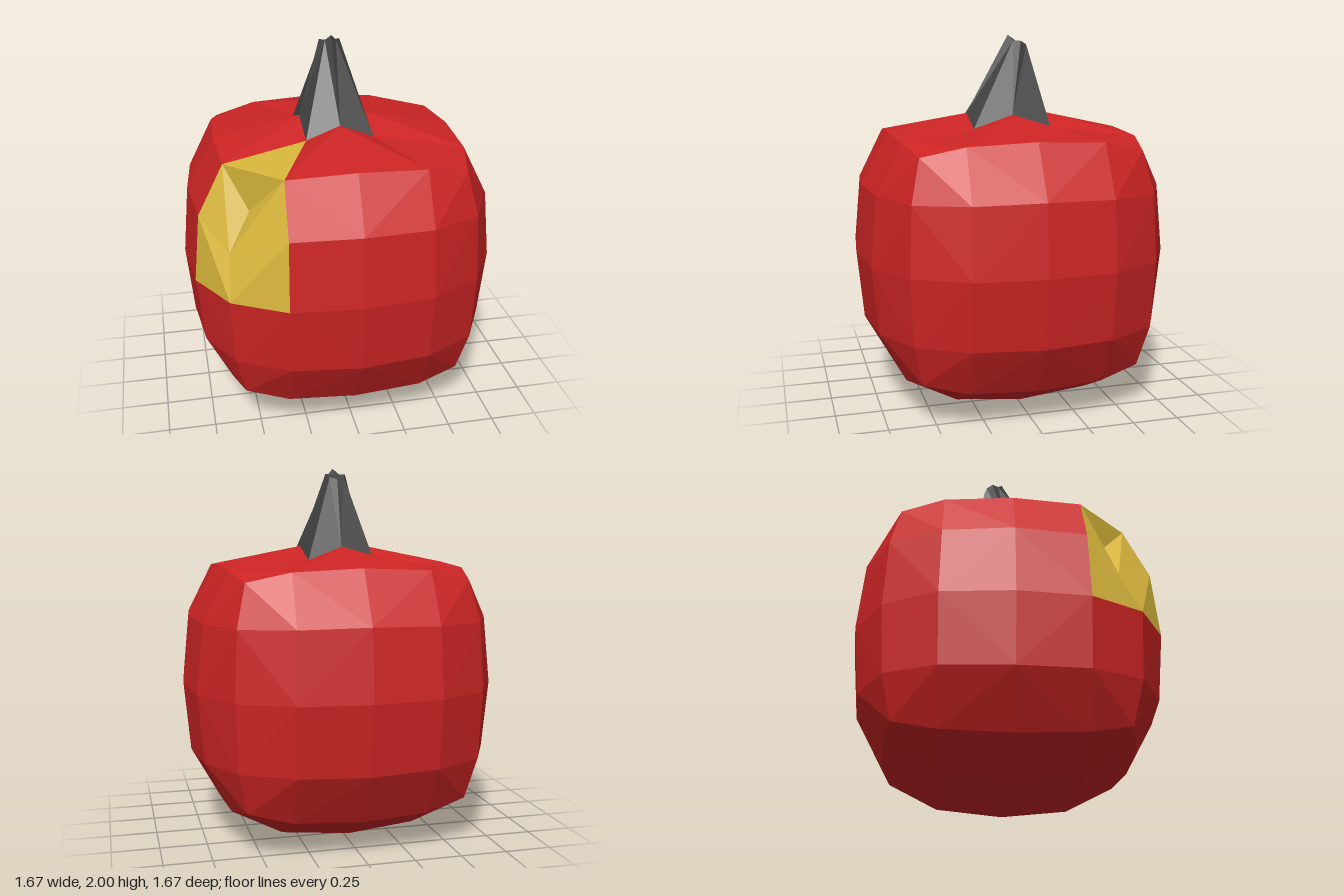
import * as THREE from 'three';

const CY = 0.84; // height of the body's centre
const centre = new THREE.Vector3(0, CY, 0);

// Flat-shaded mesh from a list of triangle corners
function facetMesh(name, points, material) {
  const g = new THREE.BufferGeometry().setFromPoints(points);
  g.computeVertexNormals();
  const m = new THREE.Mesh(g, material);
  m.name = name;
  return m;
}

// Split a quad along the diagonal that bulges further outward
function addQuad(list, a, b, c, d) {
  const mid = (p, q) => p.clone().add(q).multiplyScalar(0.5).distanceTo(centre);
  if (mid(a, c) >= mid(b, d)) list.push(a, b, c, a, c, d);
  else list.push(a, b, d, b, c, d);
}

// Rounded-cube lattice: the position depends on the lattice steps (-2..2) on each axis
const outer = { '0,0': 0.835, '0,1': 0.8, '1,1': 0.765, '0,2': 0.646, '1,2': 0.63, '2,2': 0.58 };
const inner = { '0,2': 0.37, '1,2': 0.363, '2,2': 0.358 };

function latticePoint(idx) {
  const [x, y, z] = idx;
  // dented shoulder
  if (x === -2 && z === 2 && y === 2) return new THREE.Vector3(-0.515, 1.25, 0.462);
  if (x === -2 && z === 2 && y === 1) return new THREE.Vector3(-0.63, 1.06, 0.54);
  // opening under the stem
  if (y === 2 && Math.abs(x) < 2 && Math.abs(z) < 2) {
    return new THREE.Vector3(x * 0.18, x && z ? 1.51 : 1.58, z * 0.213);
  }
  const c = idx.map((v, i) => {
    const key = idx.filter((_, j) => j !== i).map(Math.abs).sort().join(',');
    const a = Math.abs(v);
    return Math.sign(v) * (a === 2 ? outer[key] : a === 1 ? inner[key] : 0);
  });
  return new THREE.Vector3(c[0], c[1] + CY, c[2]);
}

export function createModel() {
  const red = new THREE.MeshStandardMaterial({ color: 0xcc2424 });
  red.name = 'red';
  const yellow = new THREE.MeshStandardMaterial({ color: 0xd8b63c });
  yellow.name = 'yellow';
  const grey = new THREE.MeshStandardMaterial({ color: 0x444444 });
  grey.name = 'dark grey';

  const group = new THREE.Group();
  group.name = 'bittenFruit';

  // Body: six 4 x 4 faces, with the dented shoulder kept apart
  const skin = [], flesh = [];
  for (let n = 0; n < 3; n++) for (const s of [-1, 1]) {
    for (let i = -2; i < 2; i++) for (let j = -2; j < 2; j++) {
      const hole = n === 1 && s === 1 && (i === -1 || i === 0) && (j === -1 || j === 0);
      if (hole) continue;
      const corners = [[i, j], [i + 1, j], [i + 1, j + 1], [i, j + 1]].map(([u, v]) => {
        const idx = [0, 0, 0];
        idx[n] = 2 * s;
        idx[(n + 1) % 3] = u;
        idx[(n + 2) % 3] = v;
        return idx;
      });
      if (s < 0) corners.reverse();
      const bitten = corners.every(([x, y, z]) => x <= -1 && y >= 0 && z >= 1);
      addQuad(bitten ? flesh : skin, ...corners.map(latticePoint));
    }
  }
  group.add(facetMesh('body', skin, red));
  group.add(facetMesh('bite', flesh, yellow));

  // Stem: eight-point star base tapering to a tip that leans back
  const ring = [[0, 1], [1, 1], [1, 0], [1, -1], [0, -1], [-1, -1], [-1, 0], [-1, 1]];
  const base = ring.map(([x, z]) => latticePoint([x, 2, z]));
  const tipHalf = { 1: [0, 2, -0.022], 2: [0.03, 1.97, -0.045], 3: [0.055, 1.968, -0.08],
    4: [0.04, 1.95, -0.115], 5: [0, 1.94, -0.125] };
  const tip = ring.map(([x], i) => {
    const [tx, ty, tz] = tipHalf[i < 5 ? i + 1 : 9 - i];
    return new THREE.Vector3(Math.sign(x) * tx, ty, tz);
  });
  const cap = new THREE.Vector3(0, 1.96, -0.08);
  const stem = [];
  for (let i = 0; i < 8; i++) {
    const k = (i + 1) % 8;
    addQuad(stem, base[i], base[k], tip[k], tip[i]);
    stem.push(tip[i], tip[k], cap);
  }
  group.add(facetMesh('stem', stem, grey));

  return group;
}
